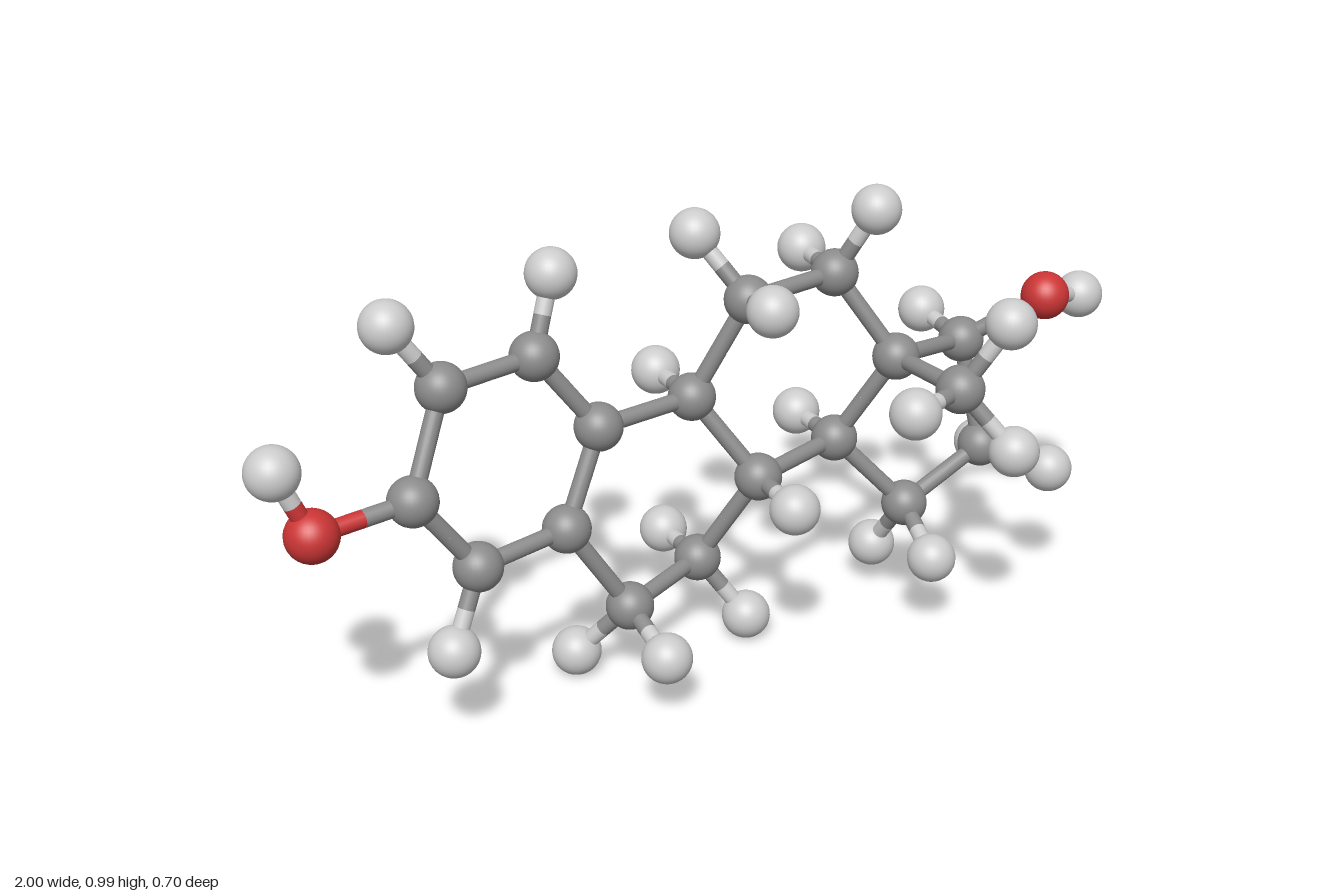
import * as THREE from 'three';

const paint = (name, color) => Object.assign(new THREE.MeshStandardMaterial({ color }), { name });

const UP = new THREE.Vector3(0, 1, 0);
const BOND_RADIUS = 0.018;

// Carbon skeleton: first ring, second ring, third ring, five-sided ring, side branch
const carbons = {
  c1: [-0.372, 0.75, -0.107], c2: [-0.587, 0.746, -0.062], c3: [-0.682, 0.553, 0.002],
  c4: [-0.559, 0.38, 0.005], c5: [-0.345, 0.388, -0.042], c10: [-0.249, 0.58, -0.08],
  c6: [-0.217, 0.183, -0.02], c7: [-0.003, 0.195, -0.118], c8: [0.099, 0.404, -0.032], c9: [-0.013, 0.58, -0.12],
  c11: [0.094, 0.795, -0.07], c12: [0.329, 0.798, -0.112], c13: [0.433, 0.617, -0.022], c14: [0.334, 0.412, -0.105],
  c15: [0.479, 0.247, -0.034], c16: [0.693, 0.338, -0.05], c17: [0.666, 0.58, -0.108],
  c18: [0.43, 0.633, 0.22],
};

const oxygens = { o3: [-0.89, 0.543, 0.025], o17: [0.805, 0.696, 0.004] };

// Hydrogens listed under the atom that holds them
const hydrogens = {
  o3: [[-0.948, 0.682, 0.013]],
  o17: [[0.945, 0.655, -0.05]],
  c1: [[-0.313, 0.902, -0.144]],
  c2: [[-0.682, 0.885, -0.075]],
  c4: [[-0.634, 0.227, 0.042]],
  c6: [[-0.307, 0.058, -0.1], [-0.215, 0.141, 0.144]],
  c7: [[0.084, 0.059, -0.056], [-0.003, 0.192, -0.28]],
  c8: [[0.09, 0.402, 0.135]],
  c9: [[-0.008, 0.575, -0.296]],
  c11: [[0.019, 0.923, -0.162], [0.057, 0.831, 0.092]],
  c12: [[0.393, 0.944, -0.056], [0.35, 0.797, -0.284]],
  c14: [[0.335, 0.412, -0.27]],
  c15: [[0.464, 0.102, -0.137], [0.447, 0.19, 0.125]],
  c16: [[0.783, 0.313, 0.087], [0.783, 0.27, -0.183]],
  c17: [[0.666, 0.598, -0.267]],
  c18: [[0.275, 0.638, 0.286], [0.513, 0.777, 0.267], [0.516, 0.505, 0.3]],
};

// Chains of bonded atoms
const chains = [
  'c1 c2 c3 c4 c5 c10 c1', 'c5 c6 c7 c8 c9 c10', 'c9 c11 c12 c13 c14 c8',
  'c14 c15 c16 c17 c13 c18', 'c3 o3', 'c17 o17',
];

export function createModel() {
  const model = new THREE.Group();
  model.name = 'molecule';

  const kinds = {
    carbon: { radius: 0.051, material: paint('carbon grey', 0x8c8c8c) },
    oxygen: { radius: 0.053, material: paint('oxygen red', 0xcc3535) },
    hydrogen: { radius: 0.053, material: paint('hydrogen pale grey', 0xcccccc) },
  };
  for (const kind of Object.values(kinds)) kind.sphere = new THREE.SphereGeometry(kind.radius, 32, 20);

  // Ball for one atom
  function addAtom(type, position) {
    const { sphere, material } = kinds[type];
    const ball = new THREE.Mesh(sphere, material);
    ball.name = type + 'Ball';
    ball.position.set(...position);
    model.add(ball);
    return { type, point: ball.position };
  }

  // Half of a bond, in the colour of the atom it starts from
  function addHalfBond(from, to) {
    const half = to.point.clone().sub(from.point).multiplyScalar(0.5);
    const rod = new THREE.Mesh(
      new THREE.CylinderGeometry(BOND_RADIUS, BOND_RADIUS, half.length(), 20, 1, true),
      kinds[from.type].material,
    );
    rod.name = from.type + 'HalfBond';
    rod.position.copy(from.point).addScaledVector(half, 0.5);
    rod.quaternion.setFromUnitVectors(UP, half.normalize());
    model.add(rod);
  }

  function addBond(a, b) {
    addHalfBond(a, b);
    addHalfBond(b, a);
  }

  // Skeleton atoms
  const atoms = {};
  for (const [id, p] of Object.entries(carbons)) atoms[id] = addAtom('carbon', p);
  for (const [id, p] of Object.entries(oxygens)) atoms[id] = addAtom('oxygen', p);

  // Rings and branches
  for (const chain of chains) {
    const ids = chain.split(' ');
    for (let i = 1; i < ids.length; i++) addBond(atoms[ids[i - 1]], atoms[ids[i]]);
  }

  // Hydrogens with their bonds
  for (const [id, points] of Object.entries(hydrogens)) {
    for (const p of points) addBond(atoms[id], addAtom('hydrogen', p));
  }

  return model;
}
